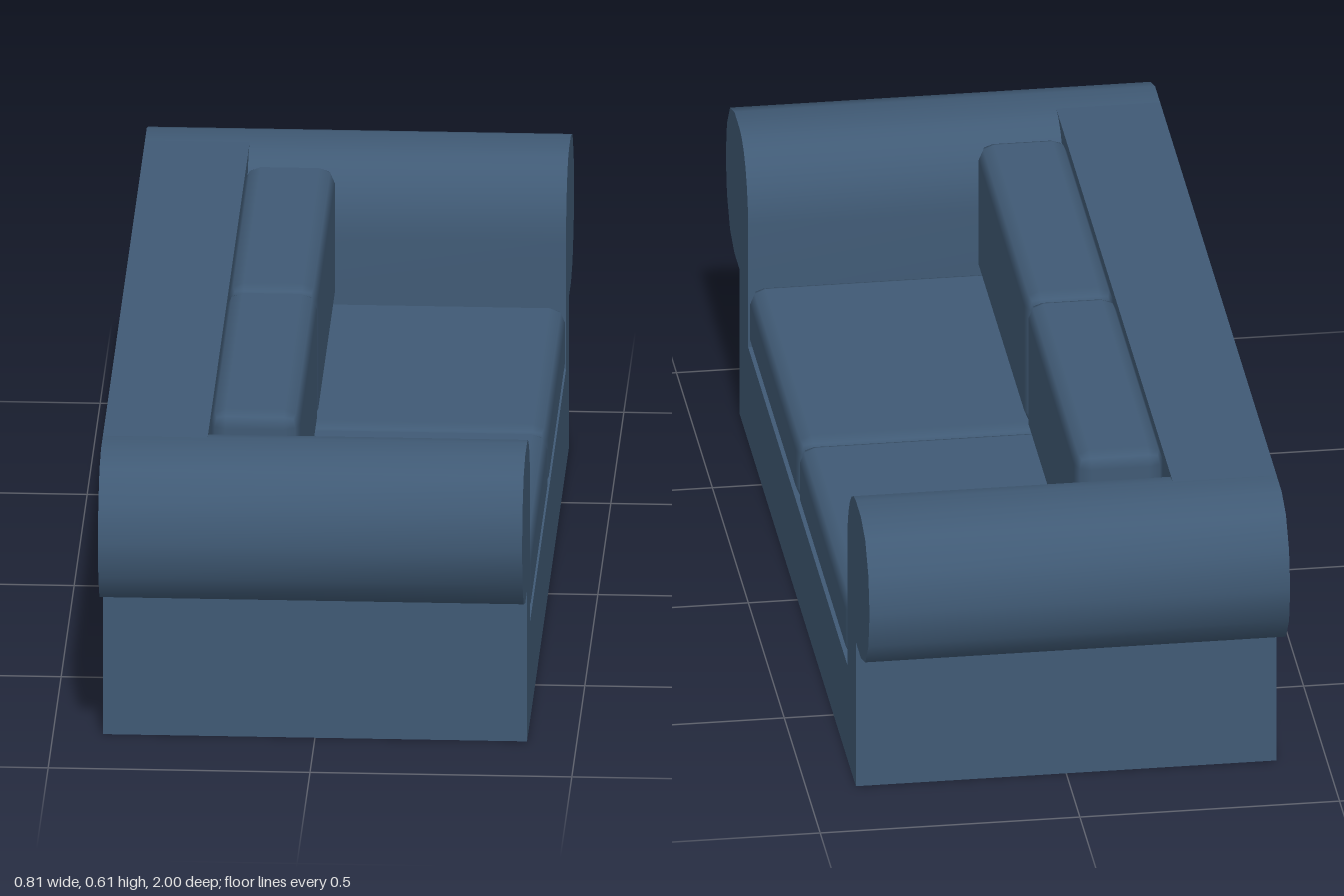
import * as THREE from 'three';
import { toCreasedNormals } from 'three/addons/utils/BufferGeometryUtils.js';
import { RoundedBoxGeometry } from 'three/addons/geometries/RoundedBoxGeometry.js';

const DEPTH = 0.81;      // front to back, along x
const TOP = 0.607;
const RX = 0.12, RY = 0.15;

export function createModel() {
  const sofa = new THREE.Group();
  sofa.name = 'sofa';
  const fabric = new THREE.MeshStandardMaterial({ color: 0x405a75 });
  fabric.name = 'blue fabric';

  const add = (name, geometry, x = 0, y = 0, z = 0) => {
    const mesh = new THREE.Mesh(geometry, fabric);
    mesh.name = name;
    mesh.position.set(x, y, z);
    sofa.add(mesh);
  };

  // Half of the frame outline: base, overhanging arm roll, inner arm face
  const half = [[0.81, 0], [0.81, TOP - 2 * RY]];
  const cy = TOP - RY;
  for (let a = -90; a <= 90; a += 30) {
    const t = THREE.MathUtils.degToRad(a);
    half.push([0.88 + RX * Math.cos(t), cy + RY * Math.sin(t)]);
  }
  for (let a = 90; a <= 180; a += 15) {
    const t = THREE.MathUtils.degToRad(a);
    half.push([0.81 + RX * Math.cos(t), cy + RY * Math.sin(t)]);
  }
  half.push([0.69, 0.2]);

  // Base and both rolled arms as one extrusion running front to back
  const outline = [...half, ...half.map(([x, y]) => [-x, y]).reverse()];
  const shape = new THREE.Shape(outline.map(([x, y]) => new THREE.Vector2(x, y)));
  const frame = new THREE.ExtrudeGeometry(shape, { depth: DEPTH, bevelEnabled: false });
  frame.translate(0, 0, -DEPTH / 2);
  frame.rotateY(Math.PI / 2);
  add('baseAndArms', toCreasedNormals(frame, THREE.MathUtils.degToRad(40)));

  // Backrest, flush with the arm tops
  add('backrest', new THREE.BoxGeometry(0.2, TOP - 0.2, 1.62), -0.305, (TOP + 0.2) / 2, 0);

  // Softly bevelled cushion filling the given bounds
  const cushion = (name, x0, x1, y0, y1, z0, z1) => {
    const r = 0.03, grow = 0.19 * r;
    const geometry = new RoundedBoxGeometry(x1 - x0 + grow, y1 - y0 + grow, z1 - z0 + grow, 1, r);
    add(name, geometry, (x0 + x1) / 2, (y0 + y1) / 2, (z0 + z1) / 2);
  };

  // A seat and a back cushion on each side
  for (const [side, z0, z1] of [['left', -0.689, -0.001], ['right', 0.001, 0.689]]) {
    cushion(side + 'SeatCushion', -0.204, 0.402, 0.201, 0.332, z0, z1);
    cushion(side + 'BackCushion', -0.204, -0.038, 0.332, 0.609, z0, z1);
  }
  return sofa;
}
